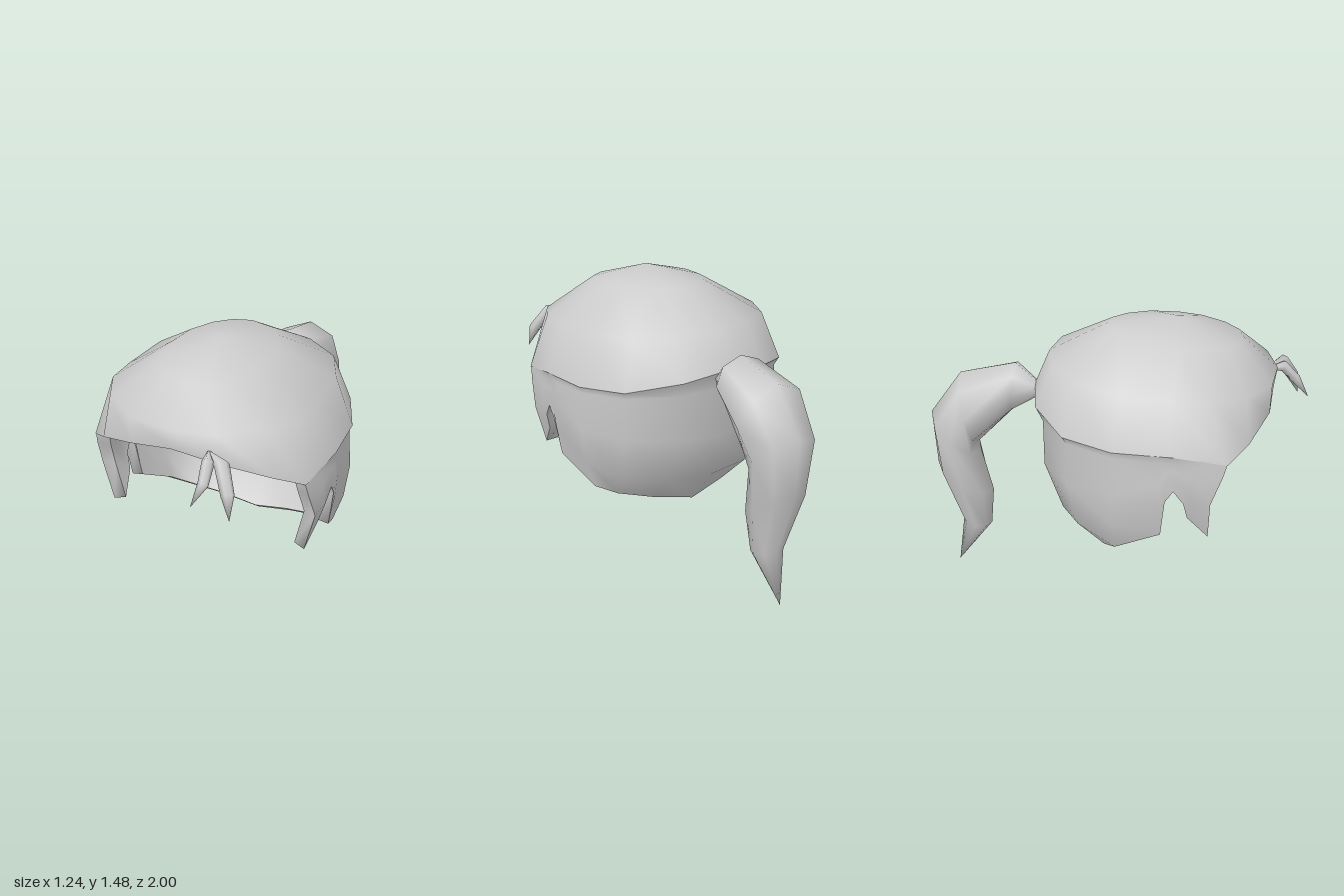
import * as THREE from 'three';
import { mergeVertices } from 'three/addons/utils/BufferGeometryUtils.js';

const V = (x, y, z) => new THREE.Vector3(x, y, z);

// Smooth surface through rows of points (rows run down, columns run right seen from outside)
function surface(rows, closed = false) {
  const n = rows[0].length, index = [];
  for (let i = 0; i < rows.length - 1; i++) {
    for (let j = 0; j < (closed ? n : n - 1); j++) {
      const k = (j + 1) % n;
      const a = i * n + j, b = i * n + k, c = (i + 1) * n + k, d = (i + 1) * n + j;
      index.push(a, d, c, a, c, b);
    }
  }
  let geo = new THREE.BufferGeometry().setFromPoints(rows.flat());
  geo.setIndex(index);
  geo = mergeVertices(geo, 1e-4);
  geo.computeVertexNormals();
  return geo;
}

// Moves points toward a centre to make the inner wall
const shrink = (centre, scale) => p => p.clone().sub(centre).multiply(scale).add(centre);
const mirrorX = p => V(-p.x, p.y, p.z);

export function createModel() {
  const hair = new THREE.MeshStandardMaterial({ color: 0xcccccc, side: THREE.DoubleSide });
  hair.name = 'hairGrey';
  const model = new THREE.Group();
  model.name = 'hair';

  const add = (name, geo, parent = model) => {
    const mesh = new THREE.Mesh(geo, hair);
    mesh.name = name;
    parent.add(mesh);
  };

  // Thick wall: outer face, inner face and the edge joining them
  function wall(name, rows, inward, closed) {
    const group = new THREE.Group();
    group.name = name;
    const inner = rows.map(r => r.map(inward));
    const last = rows.length - 1, n = rows[0].length;
    const border = grid => closed ? grid[last] : [
      ...grid.map(r => r[0]), ...grid[last].slice(1), ...grid.slice(0, last).reverse().map(r => r[n - 1])];
    add(name + 'Outside', surface(rows, closed), group);
    add(name + 'Inside', surface(inner.map(r => [...r].reverse()), closed), group);
    add(name + 'Edge', surface([border(rows), border(inner)], closed), group);
    model.add(group);
  }

  // Crown: half rings from front to back, mirrored
  const crownRings = [
    [[0, 1.38, .63], [.1, 1.385, .61], [.19, 1.39, .54], [.245, 1.405, .42], [.26, 1.415, .3],
      [.24, 1.425, .15], [.18, 1.43, .03], [.1, 1.435, -.04], [0, 1.44, -.06]],
    [[0, 1.22, .81], [.23, 1.22, .77], [.42, 1.23, .64], [.51, 1.24, .47], [.525, 1.24, .29],
      [.5, 1.26, .02], [.4, 1.27, -.19], [.21, 1.28, -.32], [0, 1.285, -.36]],
    [[0, 1.115, .795], [.24, 1.075, .765], [.46, 1.005, .66], [.58, .945, .555], [.622, 1, .29],
      [.59, 1, 0], [.48, 1.02, -.25], [.24, 1.07, -.41], [0, 1.1, -.44]],
  ].map(half => {
    const pts = half.map(p => V(...p));
    return [...pts, ...pts.slice(1, -1).reverse().map(mirrorX)];
  });
  const apex = crownRings[0].map(() => V(0, 1.485, .3));
  wall('crown', [apex, ...crownRings], shrink(V(0, 1.18, .25), V(.92, .92, .92)), true);

  // Lower hair: columns from the front of the side lock, past the notch, to the nape;
  // the first two rows curl in from the crown's rim
  const columns = [
    [[.577, .955, .55], [.577, .94, .553], [.585, .88, .535], [.6, .74, .48], [.545, .53, .475]],
    [[.598, .972, .44], [.6, .94, .44], [.61, .86, .42], [.605, .75, .4], [.575, .65, .37]],
    [[.61, .985, .36], [.604, .95, .36], [.61, .9, .36], [.61, .82, .355], [.6, .74, .35]],
    [[.618, 1, .3], [.605, .96, .3], [.61, .92, .3], [.61, .87, .3], [.608, .81, .3]],
    [[.616, 1, .26], [.605, .96, .26], [.61, .91, .26], [.61, .83, .26], [.605, .75, .26]],
    [[.612, 1, .22], [.602, .96, .22], [.61, .85, .23], [.605, .72, .24], [.575, .55, .24]],
    [[.588, 1, 0], [.575, .965, 0], [.588, .77, 0], [.56, .58, 0], [.51, .43, .01]],
    [[.478, 1.02, -.248], [.463, .98, -.23], [.475, .76, -.23], [.46, .53, -.18], [.41, .385, -.05]],
    [[.24, 1.07, -.408], [.235, .99, -.372], [.24, .75, -.37], [.24, .5, -.28], [.22, .335, -.11]],
    [[0, 1.1, -.438], [0, 1, -.402], [0, .74, -.4], [0, .49, -.31], [0, .285, -.14]],
  ].map(c => c.map(p => V(...p)));
  const lowerRows = columns[0].map((_, i) => {
    const row = columns.map(c => c[i]);
    return [...row, ...row.slice(0, -1).reverse().map(mirrorX)];
  });
  wall('lowerHair', lowerRows, shrink(V(0, .75, .25), V(.89, .945, .92)), false);

  // Ponytail: outer z, y, inner z, y and half width of each ring
  const tailRings = [
    [-.32, 1.06, -.32, 1.06, 0], [-.33, 1.11, -.33, 1.01, .055], [-.43, 1.11, -.44, 1.02, .06],
    [-.54, 1.21, -.56, .95, .15], [-.83, 1.15, -.75, .76, .2], [-1, .92, -.745, .7, .175],
    [-.985, .62, -.69, .46, .14], [-.865, .28, -.71, .25, .085], [-.905, .005, -.905, .005, 0],
  ].map(([oz, oy, iz, iy, w]) => Array.from({ length: 8 }, (_, j) => {
    const a = j * Math.PI / 4, c = Math.cos(a) / 2;
    return V(-w * Math.sin(a), (oy + iy) / 2 + (oy - iy) * c, (oz + iz) / 2 + (oz - iz) * c);
  }));
  add('ponytail', surface(tailRings, true));

  // Loose forelocks: x, y, z and radius along each strand
  const strand = path => path.map(([x, y, z, r], i) => {
    const at = k => V(...path[Math.max(0, Math.min(path.length - 1, k))].slice(0, 3));
    const t = at(i + 1).sub(at(i - 1)).normalize();
    const n = V(0, .6, .8).addScaledVector(t, -t.dot(V(0, .6, .8))).normalize();
    const s = n.clone().cross(t);
    return Array.from({ length: 6 }, (_, j) => V(x, y, z)
      .addScaledVector(n, r * Math.cos(j * Math.PI / 3))
      .addScaledVector(s, r * Math.sin(j * Math.PI / 3)));
  });
  add('shortForelock', surface(strand([
    [.185, 1.135, .77, .006], [.23, 1.135, .86, .03], [.24, 1.06, .93, .026], [.21, .97, 1, 0]]), true));
  add('longForelock', surface(strand([
    [.185, 1.135, .77, .006], [.3, 1.135, .86, .036], [.36, 1.03, .925, .032], [.385, .92, .96, 0]]), true));

  return model;
}
